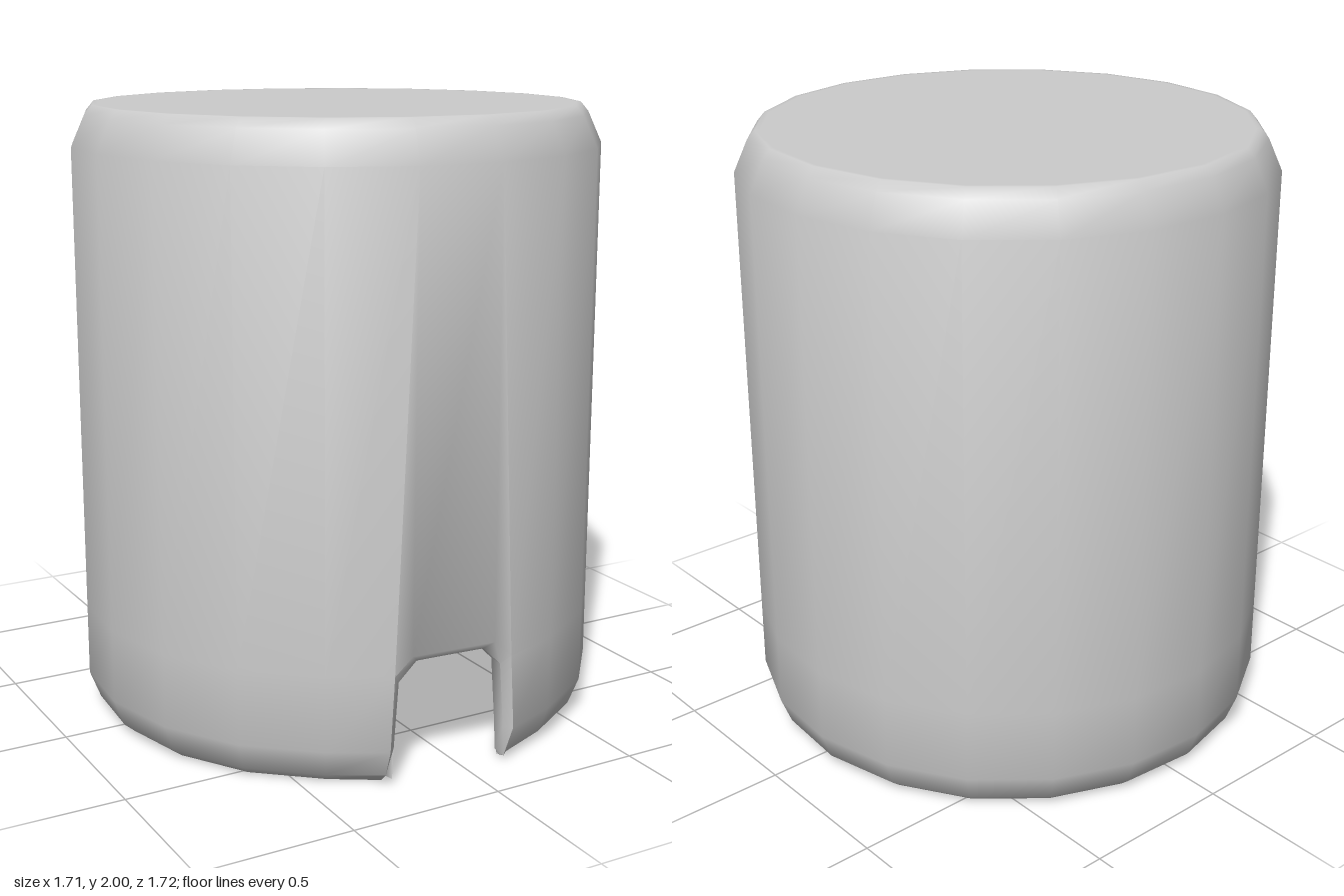
import * as THREE from 'three';
import { toCreasedNormals } from 'three/addons/utils/BufferGeometryUtils.js';

const SIDES = 20;
const HALF = Math.PI / SIDES;

// Wall section [radius, y, notch half width], from inner ceiling, round the rim, to the top
const PROFILE = [
  [0, 1.9], [0.7, 1.9], [0.77, 1.85],
  [0.77, 0.36, 0.185], [0.767, 0.12, 0.2], [0.767, 0.02, 0.205],
  [0.775, 0, 0.205], [0.79, 0, 0.21],
  [0.825, 0.03, 0.212], [0.86, 0.12, 0.213], [0.86, 0.36, 0.2],
  [0.86, 1.87], [0.815, 1.97], [0.79, 2], [0.775, 2], [0, 2],
];
const INNER = 3, OUTER = 10; // rows level with the notch shoulders

function builder() {
  const pos = [];
  const tri = (a, b, c) => {
    const n = b.clone().sub(a).cross(c.clone().sub(a));
    if (n.length() > 1e-9) for (const p of [a, b, c]) pos.push(p.x, p.y, p.z);
  };
  const poly = (...p) => { for (let i = 1; i < p.length - 1; i++) tri(p[0], p[i], p[i + 1]); };
  const geometry = () => {
    const g = new THREE.BufferGeometry();
    g.setAttribute('position', new THREE.Float32BufferAttribute(pos, 3));
    return toCreasedNormals(g, 0.9);
  };
  return { poly, geometry };
}

// Points round the wall; the two columns beside the notch spread to its width
const rows = PROFILE.map(([r, y, w]) =>
  Array.from({ length: SIDES }, (_, j) => {
    const a = HALF * (1 + 2 * j);
    const p = new THREE.Vector3(r * Math.sin(a), y, r * Math.cos(a));
    if (w && j === 0) p.x = w;
    if (w && j === SIDES - 1) p.x = -w;
    return p;
  }));
const L = (i) => rows[i][SIDES - 1];
const R = (i) => rows[i][0];

// Notch outline, from the left foot over the top to the right foot
const arch = (left) => [...left, ...left.map((p) => new THREE.Vector3(-p.x, p.y, p.z)).reverse()];
const archAt = (z, points) => arch(points.map(([x, y]) => new THREE.Vector3(-x, y, z)));
const zOut = L(OUTER).z, zIn = L(INNER).z;
const outerArch = arch([L(8), L(9), L(10), new THREE.Vector3(-0.14, 0.415, zOut)]);
const innerArch = arch([L(5), L(4), L(3), new THREE.Vector3(-0.125, 0.4, zIn)]);
const throat = [[0.195, 0.02], [0.19, 0.12], [0.175, 0.33], [0.115, 0.39]];

function buildWall() {
  const b = builder();
  for (let i = 0; i < rows.length - 1; i++) {
    for (let j = 0; j < SIDES; j++) {
      // the front panel is open at the notch and pieced in below
      if (j === SIDES - 1 && i >= INNER - 1 && i <= OUTER) continue;
      const k = (j + 1) % SIDES;
      b.poly(rows[i][j], rows[i][k], rows[i + 1][k], rows[i + 1][j]);
    }
  }
  // front panel above the notch, outside then inside
  const [oA, oB, oC, oD] = outerArch.slice(2, 6);
  const oL = L(OUTER + 1), oR = R(OUTER + 1);
  b.poly(oL, oA, oB);
  b.poly(oB, oC, oR, oL);
  b.poly(oC, oD, oR);
  const [iA, iB, iC, iD] = innerArch.slice(2, 6);
  const iL = L(INNER - 1), iR = R(INNER - 1);
  b.poly(iB, iA, iL);
  b.poly(iL, iR, iC, iB);
  b.poly(iR, iD, iC);
  // bevelled notch edge and its jambs
  const loops = [outerArch, archAt(zOut - 0.025, throat), archAt(zIn + 0.01, throat), innerArch];
  for (let n = 0; n < loops.length - 1; n++) {
    const p = loops[n], q = loops[n + 1];
    for (let k = 0; k < p.length - 1; k++) b.poly(p[k], q[k], q[k + 1], p[k + 1]);
  }
  // feet of the notch
  const [o, m, n, inn] = loops;
  const e = o.length - 1;
  b.poly(o[0], L(7), L(6), inn[0], n[0], m[0]);
  b.poly(m[e], n[e], inn[e], R(6), R(7), o[e]);
  return b.geometry();
}

export function createModel() {
  const group = new THREE.Group();
  group.name = 'notchedCap';
  const material = new THREE.MeshStandardMaterial({ color: 0xcccccc, side: THREE.DoubleSide });
  const cap = new THREE.Mesh(buildWall(), material);
  cap.name = 'capShell';
  cap.rotation.y = THREE.MathUtils.degToRad(-4.35);
  group.add(cap);
  return group;
}
